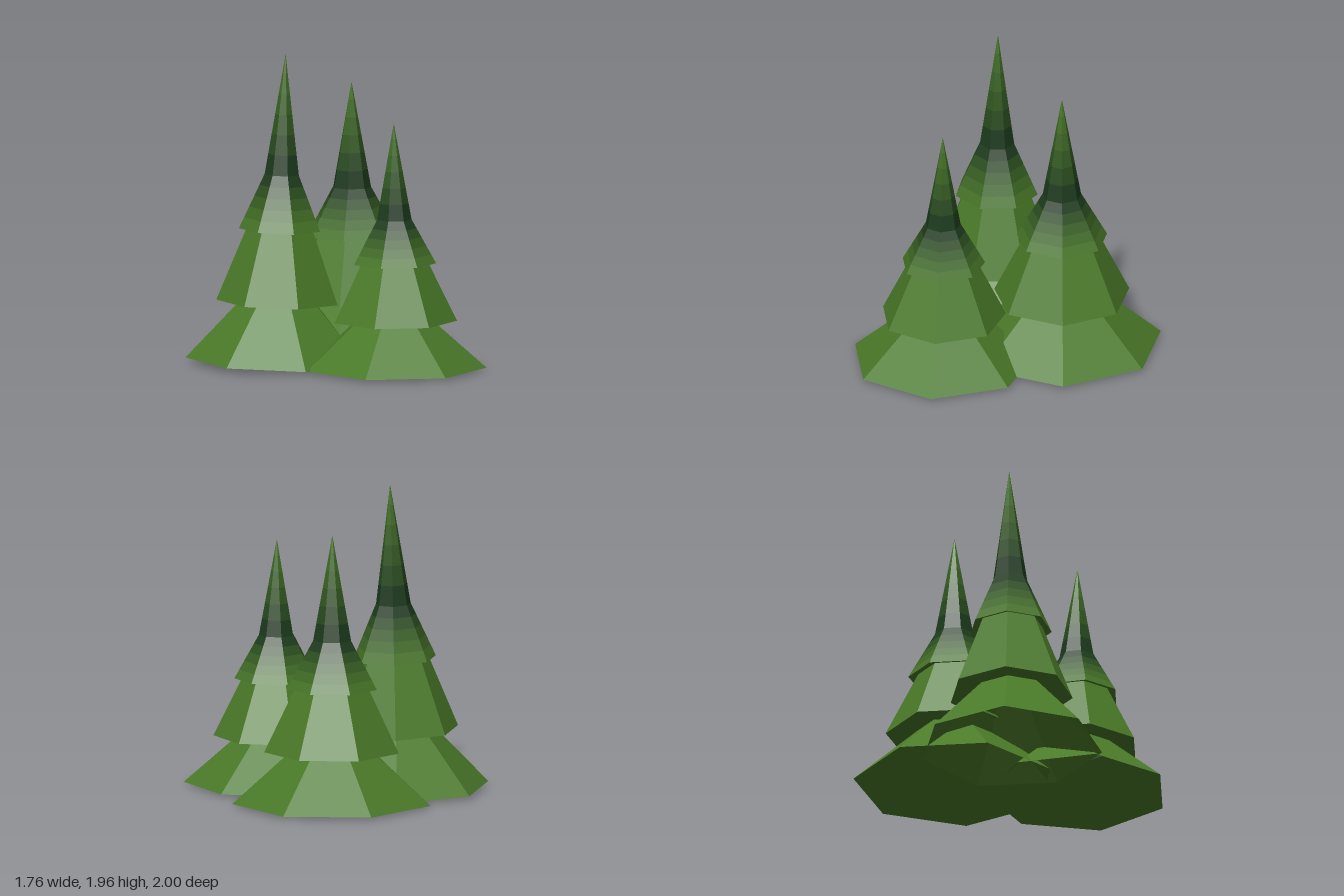
import * as THREE from 'three';

const SIDES = 7;
const LEAF = new THREE.Color(0x4a7a28);
const SHADE = new THREE.Color(0x14301c);

// Seven-sided ring of faces around the trunk axis, from [radius, height] points
function ring(name, points, color) {
  const profile = points.map(([r, y]) => new THREE.Vector2(r, y));
  const mesh = new THREE.Mesh(
    new THREE.LatheGeometry(profile, SIDES),
    new THREE.MeshStandardMaterial({ color, flatShading: true, side: THREE.DoubleSide })
  );
  mesh.name = name;
  return mesh;
}

// Stack of thin bands that fade from one colour to another
function fadingBands(name, from, to, colorA, colorB, count) {
  const group = new THREE.Group();
  group.name = name;
  const at = (t) => from.map((v, i) => v + (to[i] - v) * t);
  for (let i = 0; i < count; i++) {
    const color = colorA.clone().lerp(colorB, (i + 0.5) / count);
    group.add(ring(name + 'Band', [at(i / count), at((i + 1) / count)], color));
  }
  return group;
}

function tree(name, [x, y, z], radiusScale, heightScale, cornerDegrees, lean = 0) {
  const group = new THREE.Group();
  group.name = name;
  const foliage = new THREE.Group();
  foliage.name = 'foliage';
  const neck = [0.123, 1.03];

  // Lower skirts, each tucking in under the rim above
  foliage.add(
    ring('bottomSkirt', [[0.64, 0], [0.245, 0.345], [0.436, 0.325]], LEAF),
    ring('middleSkirt', [[0.436, 0.325], [0.23, 0.745], [0.292, 0.725]], LEAF),
    // Upper skirt darkens to the neck, spire lightens to the tip
    fadingBands('topSkirt', [0.292, 0.725], neck, LEAF, SHADE, 5),
    fadingBands('spire', neck, [0, 1.7], SHADE, LEAF, 6)
  );
  foliage.rotation.y = THREE.MathUtils.degToRad(90 - cornerDegrees);
  foliage.scale.set(radiusScale, heightScale, radiusScale);

  group.add(foliage);
  group.position.set(x, y, z);
  group.rotation.z = lean;
  return group;
}

export function createModel() {
  const model = new THREE.Group();
  model.name = 'pineTrees';
  model.add(
    tree('backTree', [0.273, 0.02, -0.362], 1, 1, 18.4),
    tree('frontTree', [0.25, 0.02, 0.424], 0.917, 0.912, -25.2),
    tree('tallTree', [-0.325, 0.022, -0.122], 0.906, 1.142, 196.1, -0.03)
  );
  return model;
}
